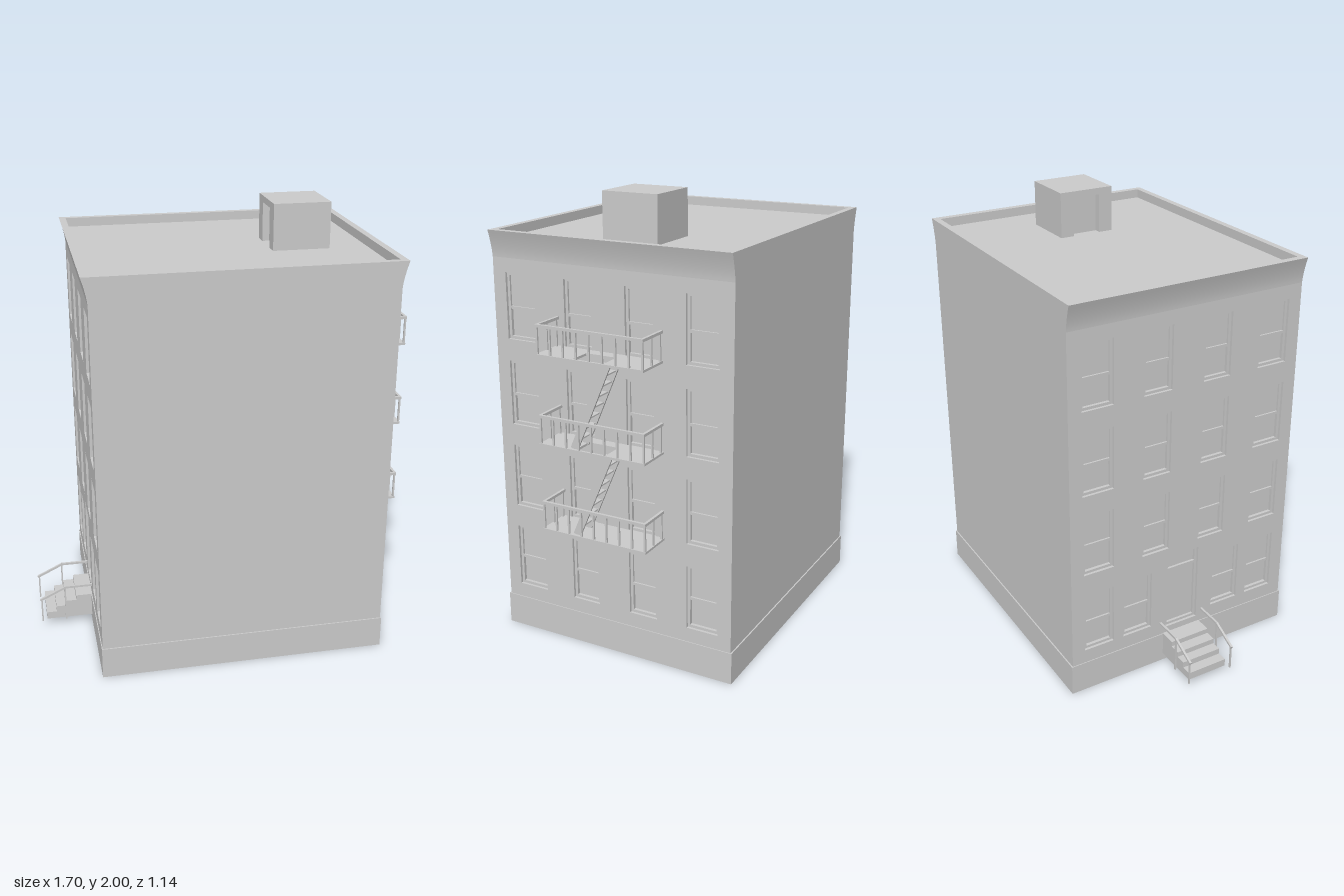
import * as THREE from 'three';
import { toCreasedNormals } from 'three/addons/utils/BufferGeometryUtils.js';

const mat = new THREE.MeshStandardMaterial({ color: 0xcccccc });

const X0 = -0.6, X1 = 0.69, Z = 0.565;      // wall faces
const TOP = 1.836, DECK = 1.795, PLINTH = 0.145, T = 0.03;
const BASE = 0.175;                          // underside of the raised floor
const FLOORS = [0.21, 0.6, 0.985, 1.37];     // window sills
const WIN_H = 0.288;

function mesh(parent, name, geo) {
  const m = new THREE.Mesh(geo, mat);
  m.name = name;
  parent.add(m);
  return m;
}

// box given by its min and max corners
function box(parent, name, x0, x1, y0, y1, z0, z1) {
  const m = mesh(parent, name, new THREE.BoxGeometry(x1 - x0, y1 - y0, z1 - z0));
  m.position.set((x0 + x1) / 2, (y0 + y1) / 2, (z0 + z1) / 2);
  return m;
}

// square bar between two points
function bar(parent, name, a, b, w = 0.008, h = w) {
  const p = new THREE.Vector3(...a), q = new THREE.Vector3(...b);
  const m = mesh(parent, name, new THREE.BoxGeometry(w, h, p.distanceTo(q)));
  m.position.copy(p).add(q).multiplyScalar(0.5);
  m.lookAt(q);
  return m;
}

const polygon = pts => new THREE.Shape(pts.map(p => new THREE.Vector2(...p)));
const rect = (x0, x1, y0, y1) => polygon([[x0, y0], [x1, y0], [x1, y1], [x0, y1]]);

const extrude = (shape, depth) =>
  new THREE.ExtrudeGeometry(shape, { depth, bevelEnabled: false, curveSegments: 8 });

// rectangular border, open in the middle
function frame(parent, name, x0, x1, y0, y1, t, depth, z) {
  const s = rect(x0, x1, y0, y1);
  s.holes.push(rect(x0 + t, x1 - t, y0 + t, y1 - t));
  mesh(parent, name, extrude(s, depth)).position.z = z;
}

// thin upright band around the building, standing on the ground
function band(parent, name, height, dx, dz) {
  const s = rect(X0 - dx, X1 + dx, -Z - dz, Z + dz);
  s.holes.push(rect(X0 + 0.003, X1 - 0.003, -Z + 0.003, Z - 0.003));
  mesh(parent, name, extrude(s, height)).rotation.x = -Math.PI / 2;
}

// double-hung window sunk into the wall; local z points outward
function addWindow(parent, cx, y0, w) {
  const g = new THREE.Group();
  g.name = 'window';
  const x0 = cx - w / 2, x1 = cx + w / 2, y1 = y0 + WIN_H, mid = y0 + 0.136;
  frame(g, 'windowFrame', x0, x1, y0, y1, 0.012, 0.018, -T);
  box(g, 'upperSash', x0 + 0.012, x1 - 0.012, mid, y1 - 0.012, -T, -0.021);
  box(g, 'lowerSash', x0 + 0.012, x1 - 0.012, y0 + 0.012, mid, -T, -0.026);
  box(g, 'meetingRail', x0 + 0.012, x1 - 0.012, mid - 0.006, mid + 0.006, -T, -0.013);
  parent.add(g);
}

// side wall with real window openings and a flared cornice
function sideWall(name, hasDoor) {
  const g = new THREE.Group();
  g.name = name;
  const wall = rect(-Z, Z, BASE, DECK);
  FLOORS.forEach((y, i) => {
    const slots = hasDoor && i === 0
      ? [[-0.43, 0.145], [-0.235, 0.145], [0.235, 0.145], [0.43, 0.145]]
      : [[-0.43, 0.148], [-0.145, 0.135], [0.145, 0.135], [0.43, 0.148]];
    for (const [cx, w] of slots) {
      wall.holes.push(rect(cx - w / 2, cx + w / 2, y, y + WIN_H));
      addWindow(g, cx, y, w);
    }
  });
  if (hasDoor) {
    const sill = BASE + 0.002;
    wall.holes.push(rect(-0.083, 0.083, sill, 0.555));
    frame(g, 'doorFrame', -0.083, 0.083, sill, 0.555, 0.012, 0.018, -T);
    box(g, 'door', -0.071, 0.071, sill, 0.47, -T, -0.024);
    box(g, 'transomBar', -0.071, 0.071, 0.47, 0.482, -T, -0.013);
    box(g, 'transomPane', -0.071, 0.071, 0.482, 0.543, -T, -0.024);
  }
  mesh(g, 'wallPanel', extrude(wall, T)).position.z = -T;
  box(g, 'sideParapet', -Z, Z, DECK, TOP, -0.005, 0);

  // cornice profile drawn as (outward, up), swept along the wall
  const s = new THREE.Shape();
  s.moveTo(-0.003, 1.72);
  s.lineTo(0, 1.72);
  s.quadraticCurveTo(0.003, 1.765, 0.026, TOP);
  s.lineTo(-0.003, TOP);
  const c = mesh(g, 'cornice', toCreasedNormals(extrude(s, 2 * Z), 0.6));
  c.rotation.y = -Math.PI / 2;
  c.position.x = Z;
  return g;
}

function fireEscape() {
  const g = new THREE.Group();
  g.name = 'fireEscape';
  const xo = 0.84, zo = 0.246;
  FLOORS.slice(1).forEach((sill, level) => {
    const y = sill - 0.006, yr = sill + 0.122;
    // landing, with a ladder opening on the upper levels
    const s = rect(X1, 0.846, -0.252, 0.252);
    if (level > 0) s.holes.push(rect(0.739, 0.835, -0.078, 0.066));
    const landing = mesh(g, 'landing', extrude(s, 0.01));
    landing.rotation.x = -Math.PI / 2;
    landing.position.y = y;
    bar(g, 'frontRail', [xo, yr, -zo - 0.006], [xo, yr, zo + 0.006], 0.012);
    for (let i = 0; i <= 8; i++) {
      const z = -zo + i * zo / 4;
      bar(g, 'frontBaluster', [xo, y, z], [xo, yr, z]);
    }
    for (const z of [-zo, zo]) {
      bar(g, 'endRail', [X1, yr, z], [xo, yr, z], 0.012);
      for (const x of [0.704, 0.772]) bar(g, 'endBaluster', [x, y, z], [x, yr, z]);
    }
  });
  // sloping ladders between landings
  for (const i of [1, 2]) {
    const a = [FLOORS[i] + 0.002, 0.09], b = [FLOORS[i + 1], -0.077];
    for (const x of [0.746, 0.828])
      bar(g, 'ladderRail', [x, ...a], [x, ...b], 0.008, 0.034);
    for (let k = 1; k <= 7; k++) {
      const t = k / 8, y = a[0] + (b[0] - a[0]) * t, z = a[1] + (b[1] - a[1]) * t;
      box(g, 'ladderRung', 0.746, 0.828, y - 0.003, y + 0.003, z - 0.014, z + 0.014);
    }
  }
  return g;
}

// hollow steps: each step is a tread and riser between closed sides
function entranceStairs() {
  const g = new THREE.Group();
  g.name = 'entranceStairs';
  const ground = 0.035, t = 0.006;
  const steps = [[-0.82, 0.07], [-0.773, 0.098], [-0.727, 0.123], [-0.677, 0.147]];
  const side = [[X0, ground], [-0.82, ground]];
  steps.forEach(([x, y], i) => {
    const back = i < 3 ? steps[i + 1][0] : X0, below = i ? steps[i - 1][1] : ground;
    side.push([x, y], [back, y]);
    box(g, 'tread', x, back, y - t, y, -0.098, 0.098);
    box(g, 'riser', x, x + t, below - (i ? t : 0), y, -0.098, 0.098);
  });
  for (const z of [-0.098, 0.098 - t])
    mesh(g, 'stairSide', extrude(polygon(side), t)).position.z = z;
  for (const z of [-0.111, 0.111]) {
    bar(g, 'slopedHandrail', [-0.848, 0.149, z], [-0.727, 0.207, z], 0.01);
    bar(g, 'levelHandrail', [-0.73, 0.207, z], [X0, 0.207, z], 0.01);
    bar(g, 'lowerPost', [-0.841, ground, z], [-0.841, 0.152, z], 0.007);
    bar(g, 'middlePost', [-0.729, ground, z], [-0.729, 0.207, z], 0.007);
  }
  return g;
}

function roofHut() {
  const g = new THREE.Group();
  g.name = 'roofHut';
  box(g, 'hutBody', 0.285, 0.51, DECK - 0.01, 2, -0.13, 0.13);
  // front of the hut with a doorway reaching the deck
  const s = polygon([[-0.13, DECK], [-0.065, DECK], [-0.065, 1.97], [0.065, 1.97],
    [0.065, DECK], [0.13, DECK], [0.13, 2], [-0.13, 2]]);
  const m = mesh(g, 'hutDoorway', extrude(s, 0.032));
  m.rotation.y = -Math.PI / 2;
  m.position.x = 0.285;
  return g;
}

export function createModel() {
  const model = new THREE.Group();
  model.name = 'apartmentBuilding';

  // solid core, raised floor and roof deck
  box(model, 'core', X0 + T, X1 - T, BASE, DECK - 0.005, -Z + T, Z - T);
  box(model, 'raisedFloor', X0 + 0.002, X1 - 0.002, BASE - 0.002, BASE + 0.002, -Z + 0.002, Z - 0.002);
  box(model, 'roofDeck', X0 + 0.003, X1 - 0.003, DECK - 0.01, DECK, -Z + 0.01, Z - 0.01);

  // plain front and back walls, with parapet
  box(model, 'frontWall', X0, X1, BASE, TOP, Z - T, Z);
  box(model, 'backWall', X0, X1, BASE, TOP, -Z, -Z + T);

  // hollow foot of the walls, with the plinth standing slightly proud of it
  band(model, 'wallFoot', BASE, 0, 0);
  band(model, 'plinth', PLINTH, 0.004, 0.006);

  const left = sideWall('windowWall', false);
  left.rotation.y = Math.PI / 2;
  left.position.x = X1;
  const right = sideWall('entranceWall', true);
  right.rotation.y = -Math.PI / 2;
  right.position.x = X0;

  model.add(left, right, fireEscape(), entranceStairs(), roofHut());
  return model;
}
